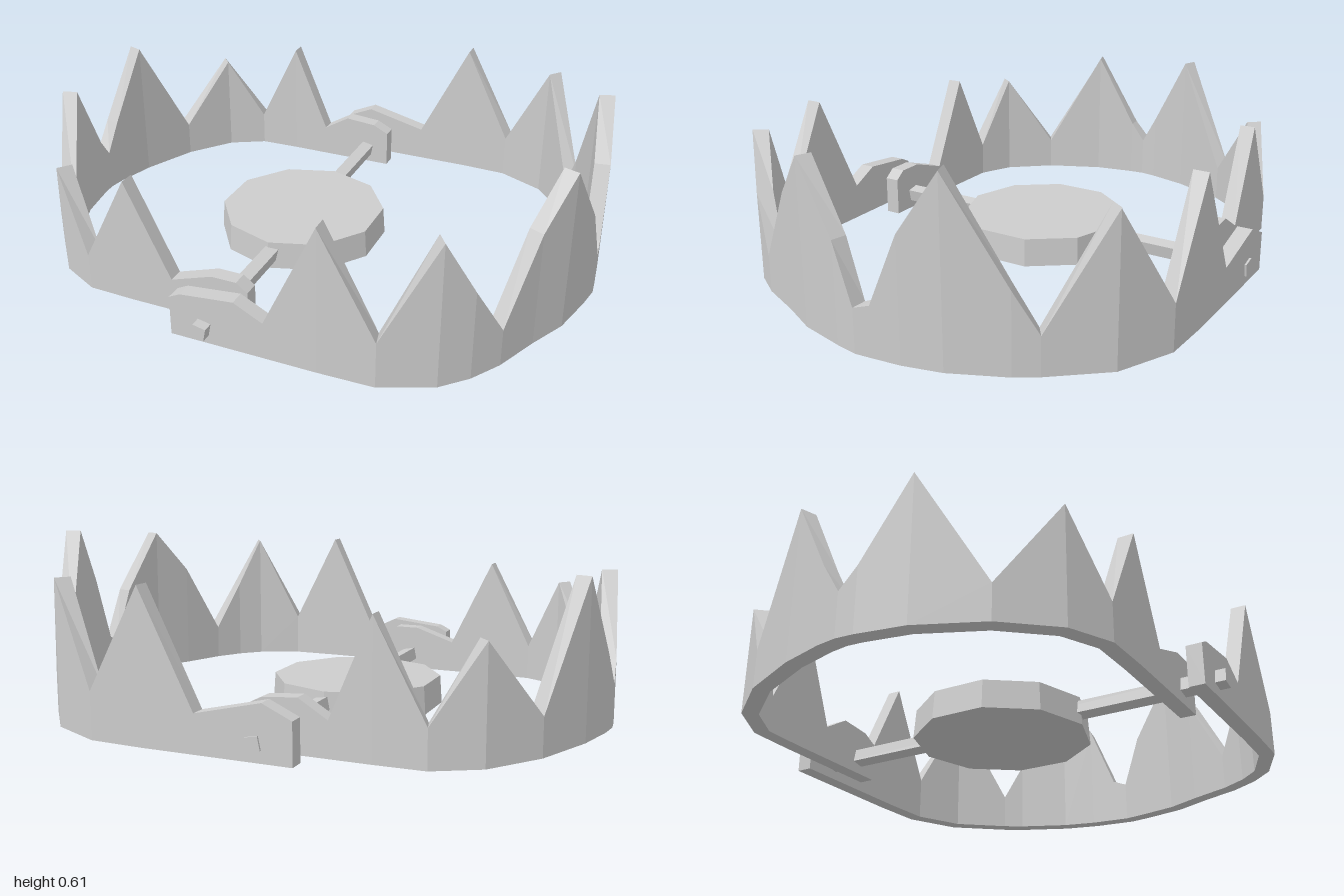
import * as THREE from 'three';

const steel = new THREE.MeshStandardMaterial({ color: 0xcccccc, flatShading: true });
steel.name = 'light grey steel';

const THICKNESS = 0.054;

// Toothed band: each station is [x, z, height] along the outer edge.
function jawGeometry(stations) {
  const n = stations.length;
  const pos = [];
  const index = [];
  const quad = (a, b, c, d) => index.push(a, b, c, a, c, d);
  const direction = (i) => {
    const a = stations[i], b = stations[i + 1];
    return new THREE.Vector2(b[0] - a[0], b[1] - a[1]).normalize();
  };
  stations.forEach(([x, z, h], i) => {
    const before = direction(Math.max(i - 1, 0));
    const after = direction(Math.min(i, n - 2));
    const t = before.clone().add(after).normalize();
    const offset = THICKNESS / t.dot(after);
    const ix = x + t.y * offset;
    const iz = z - t.x * offset;
    pos.push(x, 0, z, x, h, z, ix, h, iz, ix, 0, iz);
  });
  for (let i = 0; i < n - 1; i++) {
    for (let j = 0; j < 4; j++) {
      const k = (j + 1) % 4;
      quad(i * 4 + j, i * 4 + 4 + j, i * 4 + 4 + k, i * 4 + k);
    }
  }
  const e = (n - 1) * 4;
  quad(0, 1, 2, 3);
  quad(e + 3, e + 2, e + 1, e);
  const g = new THREE.BufferGeometry();
  g.setAttribute('position', new THREE.Float32BufferAttribute(pos, 3));
  g.setIndex(index);
  const flat = g.toNonIndexed();
  flat.computeVertexNormals();
  return flat;
}

export function createModel() {
  const group = new THREE.Group();
  const add = (name, geometry) => {
    const mesh = new THREE.Mesh(geometry, steel);
    mesh.name = name;
    group.add(mesh);
    return mesh;
  };

  // Larger jaw, from its front end round to its back end
  add('leftJaw', jawGeometry([
    [-0.2, 0.78, 0.14], [-0.16, 0.78, 0.16], [0.03, 0.78, 0.18], [0.13, 0.78, 0.13],
    [0.31, 0.78, 0.51], [0.5, 0.775, 0.16], [0.67, 0.7, 0.5], [0.75, 0.62, 0.31],
    [0.815, 0.52, 0.13], [0.88, 0.37, 0.4], [0.945, 0.24, 0.56], [0.985, 0.08, 0.34],
    [1, 0, 0.15], [0.995, -0.06, 0.17], [0.985, -0.16, 0.41], [0.955, -0.29, 0.61],
    [0.875, -0.47, 0.27], [0.83, -0.54, 0.13], [0.69, -0.71, 0.5], [0.5, -0.8, 0.16],
    [0.31, -0.808, 0.51], [0.12, -0.808, 0.13],
    [-0.11, -0.808, 0.185], [-0.21, -0.808, 0.14],
  ]));

  // Smaller jaw, from its back end round to its front end
  add('rightJaw', jawGeometry([
    [0.01, -0.688, 0.14], [-0.05, -0.688, 0.17], [-0.17, -0.688, 0.18], [-0.27, -0.688, 0.12],
    [-0.41, -0.688, 0.45], [-0.58, -0.683, 0.13], [-0.73, -0.6, 0.38], [-0.86, -0.43, 0.13],
    [-0.95, -0.22, 0.53], [-0.99, -0.07, 0.26], [-1, 0, 0.15], [-0.995, 0.06, 0.22],
    [-0.965, 0.22, 0.5], [-0.87, 0.43, 0.12], [-0.735, 0.59, 0.4], [-0.59, 0.66, 0.13],
    [-0.42, 0.665, 0.45], [-0.26, 0.665, 0.12], [-0.11, 0.665, 0.17],
    [-0.02, 0.665, 0.17], [0.02, 0.665, 0.14],
  ]));

  // Trigger plate
  const plate = add('triggerPlate', new THREE.CylinderGeometry(0.3, 0.307, 0.1, 10));
  plate.position.set(-0.088, 0.052, 0);

  // Hinge rod through both jaws
  const rod = add('hingeRod', new THREE.BoxGeometry(0.046, 0.046, 1.63));
  rod.position.set(-0.08, 0.058, 0);
  rod.rotation.z = -0.2;

  return group;
}
